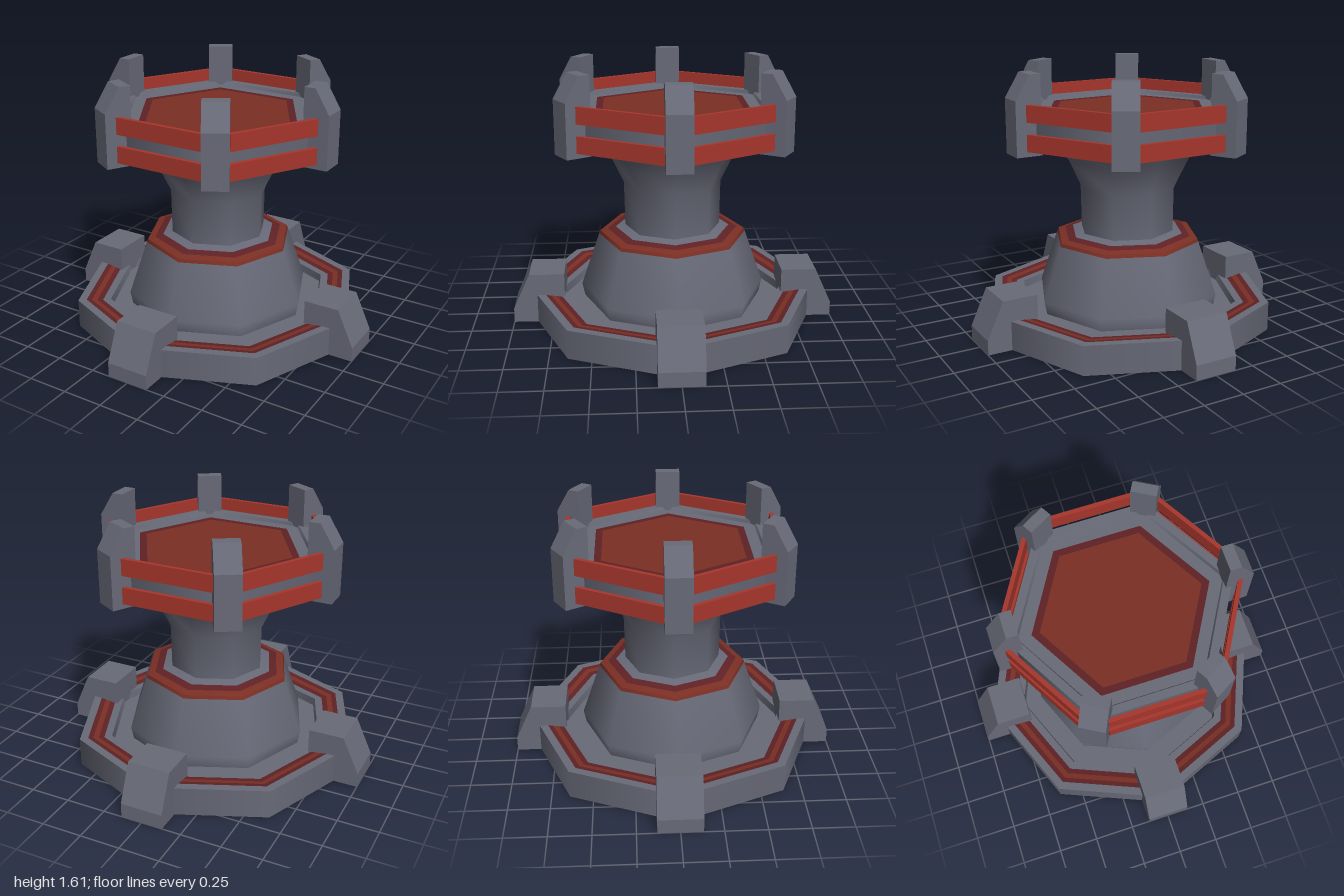
import * as THREE from 'three';

const material = (name, color) => {
  const m = new THREE.MeshStandardMaterial({ color, side: THREE.DoubleSide });
  m.name = name;
  return m;
};

// Removes the triangles lying on the ground, leaving the solid open below
function openBottom(geometry) {
  const p = geometry.attributes.position, n = geometry.attributes.normal;
  const pos = [], nor = [];
  for (let i = 0; i < p.count; i += 3) {
    if ([0, 1, 2].every(k => Math.abs(p.getY(i + k)) < 1e-4)) continue;
    for (let k = 0; k < 3; k++) {
      pos.push(p.getX(i + k), p.getY(i + k), p.getZ(i + k));
      nor.push(n.getX(i + k), n.getY(i + k), n.getZ(i + k));
    }
  }
  const out = new THREE.BufferGeometry();
  out.setAttribute('position', new THREE.Float32BufferAttribute(pos, 3));
  out.setAttribute('normal', new THREE.Float32BufferAttribute(nor, 3));
  return out;
}

// Side profile (radius, height) given a width, centred on the x axis
function slab(profile, width) {
  const shape = new THREE.Shape(profile.map(([x, y]) => new THREE.Vector2(x, y)));
  return new THREE.ExtrudeGeometry(shape, { depth: width, bevelEnabled: false })
    .translate(0, 0, -width / 2);
}

export function createModel() {
  const model = new THREE.Group();
  model.name = 'pedestal';
  const grey = material('slate grey', 0x686a78);
  const railRed = material('rail red', 0xa6362c);
  const panelRed = material('panel red', 0x7c2f24);
  const darkRed = material('dark red', 0x602226);

  const add = (name, geometry, mat, parent = model) => {
    const mesh = new THREE.Mesh(geometry, mat);
    mesh.name = name;
    parent.add(mesh);
    return mesh;
  };
  // Faceted ring, smooth around; corners of the rings lie on the x axis
  const ring = (name, sides, mat, ...points) => add(name, new THREE.LatheGeometry(
    points.map(([r, y]) => new THREE.Vector2(r, y)), sides, Math.PI / 2), mat);

  // Octagonal base, open underneath, with a painted channel
  ring('baseWall', 8, grey, [0.905, 0], [0.905, 0.18]);
  ring('baseRim', 8, grey, [0.905, 0.18], [0.852, 0.18]);
  ring('channelOuterEdge', 8, darkRed, [0.852, 0.18], [0.82, 0.175]);
  ring('channelCentre', 8, panelRed, [0.82, 0.175], [0.785, 0.17]);
  ring('channelInnerEdge', 8, darkRed, [0.785, 0.17], [0.75, 0.165]);
  ring('baseLip', 8, grey, [0.75, 0.165], [0.70, 0.165]);
  ring('recessWall', 8, grey, [0.70, 0.165], [0.69, 0.12]);
  ring('recessFloor', 8, grey, [0.69, 0.12], [0.56, 0.12]);

  // Dome with a painted collar
  ring('dome', 8, grey, [0.56, 0.12], [0.575, 0.2], [0.46, 0.535]);
  ring('collarEdge', 8, panelRed, [0.46, 0.535], [0.452, 0.555]);
  ring('collarTop', 8, panelRed, [0.452, 0.555], [0.405, 0.567]);
  ring('collarInnerBand', 8, darkRed, [0.405, 0.567], [0.355, 0.579]);
  ring('collarShoulder', 8, grey, [0.355, 0.579], [0.295, 0.593]);

  // Flared column
  ring('column', 8, grey, [0.295, 0.593], [0.3, 0.87], [0.39, 1.06], [0.465, 1.17]);

  // Hexagonal platform
  ring('platformUnderside', 6, grey, [0.4, 1.17], [0.677, 1.17]);
  ring('platformWall', 6, grey, [0.677, 1.17], [0.677, 1.37]);
  ring('platformRim', 6, grey, [0.677, 1.37], [0.62, 1.37]);
  ring('platformStep', 6, grey, [0.62, 1.37], [0.61, 1.35]);
  ring('platformFloor', 6, grey, [0.61, 1.35], [0.53, 1.35]);
  ring('padBorder', 6, darkRed, [0.53, 1.35], [0.482, 1.35]);
  ring('pad', 6, panelRed, [0.482, 1.35], [0, 1.35]);

  // Four clamps around the base
  const clamp = openBottom(slab(
    [[0.68, 0], [1, 0], [1, 0.09], [0.898, 0.315], [0.68, 0.315]], 0.265));
  for (let i = 0; i < 4; i++) add('clamp', clamp, grey).rotation.y = i * Math.PI / 2;

  // Six posts at the platform corners, paired rails along its sides
  const post = slab(
    [[0.6, 1.135], [0.757, 1.135], [0.757, 1.46], [0.668, 1.605], [0.6, 1.605]], 0.152);
  const rail = new THREE.BoxGeometry(0.026, 0.1, 0.56);
  for (let i = 0; i < 6; i++) {
    add('post', post, grey).rotation.y = i * Math.PI / 3;
    const side = new THREE.Group();
    side.name = 'railPair';
    side.rotation.y = (i + 0.5) * Math.PI / 3;
    for (const y of [1.215, 1.385]) add('rail', rail, railRed, side).position.set(0.627, y, 0);
    model.add(side);
  }
  return model;
}
